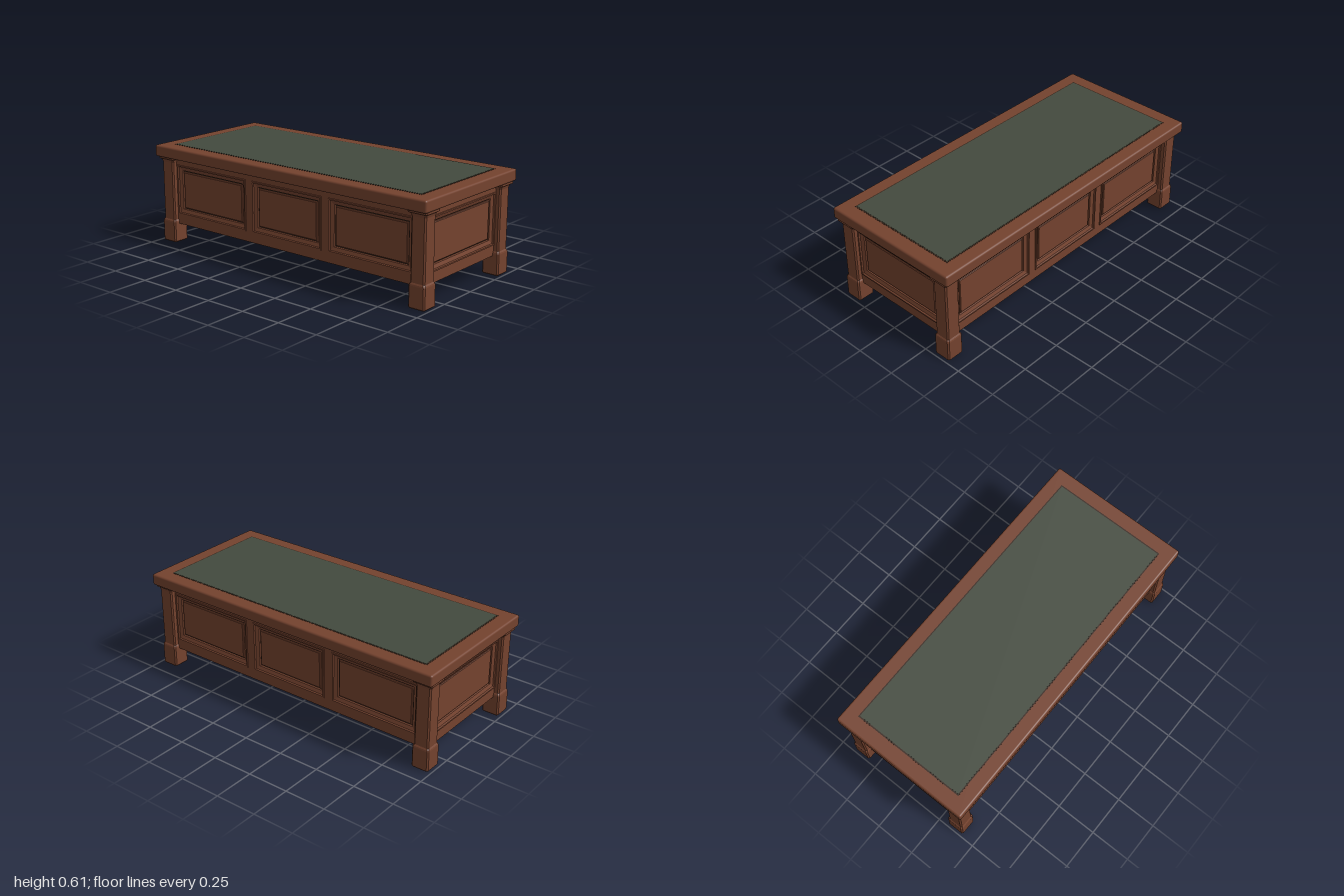
import * as THREE from 'three';
import { RoundedBoxGeometry } from 'three/addons/geometries/RoundedBoxGeometry.js';

const mat = (name, color) => new THREE.MeshStandardMaterial({ name, color });

// Joins rectangular loops [halfX, halfY, z, chamfer] into a flat-shaded surface along +z.
function loft(rows, closeStart) {
  const loops = rows.map(([hx, hy, z, c = 0]) => (c
    ? [[-hx + c, -hy], [hx - c, -hy], [hx, -hy + c], [hx, hy - c], [hx - c, hy], [-hx + c, hy], [-hx, hy - c], [-hx, -hy + c]]
    : [[-hx, -hy], [hx, -hy], [hx, hy], [-hx, hy]]).map(([x, y]) => [x, y, z]));
  const pos = [];
  const n = loops[0].length;
  for (let i = 0; i < loops.length - 1; i++) {
    for (let j = 0; j < n; j++) {
      const k = (j + 1) % n;
      const [a, b, c, d] = [loops[i][j], loops[i][k], loops[i + 1][k], loops[i + 1][j]];
      pos.push(...a, ...b, ...c, ...a, ...c, ...d);
    }
  }
  const end = loops[loops.length - 1];
  for (let j = 1; j < n - 1; j++) {
    pos.push(...end[0], ...end[j], ...end[j + 1]);
    if (closeStart) pos.push(...loops[0][0], ...loops[0][j + 1], ...loops[0][j]);
  }
  const g = new THREE.BufferGeometry();
  g.setAttribute('position', new THREE.Float32BufferAttribute(pos, 3));
  g.computeVertexNormals();
  return g;
}

function rect(Type, x0, x1, y0, y1) {
  const s = new Type();
  s.moveTo(x0, y0);
  s.lineTo(x1, y0);
  s.lineTo(x1, y1);
  s.lineTo(x0, y1);
  s.closePath();
  return s;
}

export function createModel() {
  const root = new THREE.Group();
  root.name = 'panelledDesk';
  const wood = mat('mahogany', 0x74422e);
  const felt = mat('greenLeather', 0x434a3e);
  const dark = mat('darkGroove', 0x38271c);

  const add = (parent, name, geometry, material, x = 0, y = 0, z = 0) => {
    const m = new THREE.Mesh(geometry, material);
    m.name = name;
    m.position.set(x, y, z);
    parent.add(m);
    return m;
  };

  // Top slab with its inlaid writing surface
  add(root, 'topSlab', new RoundedBoxGeometry(2, 0.07, 0.88, 3, 0.012), wood, 0, 0.57, 0);
  add(root, 'inlayBorder', new THREE.BoxGeometry(1.826, 0.004, 0.714), dark, 0, 0.604, 0);
  add(root, 'writingSurface', new THREE.BoxGeometry(1.81, 0.005, 0.7), felt, 0, 0.6045, 0);

  // Inner carcass
  add(root, 'carcass', new THREE.BoxGeometry(1.83, 0.425, 0.69), wood, 0, 0.3275, 0);

  // A wall: framed openings, each with a sloped moulding and a raised panel
  const Y0 = 0.18, Y1 = 0.483, T = 0.03;
  function wall(name, half, openings, distance, angle) {
    const g = new THREE.Group();
    g.name = name;
    g.rotation.y = angle;
    root.add(g);
    const shape = rect(THREE.Shape, -half, half, 0.115, 0.54);
    for (const [a, b] of openings) shape.holes.push(rect(THREE.Path, a, b, Y0, Y1));
    add(g, 'frame', new THREE.ExtrudeGeometry(shape, { depth: T, bevelEnabled: false }), wood, 0, 0, distance - T);
    for (const [a, b] of openings) {
      const w = (b - a) / 2, h = (Y1 - Y0) / 2;
      const row = (inset, z) => [w - inset, h - inset, z];
      const x = (a + b) / 2, y = (Y0 + Y1) / 2;
      const moulding = loft([row(-0.004, 0), row(-0.002, 0.005), row(0.006, 0.005), row(0.009, -0.004),
        row(0.03, -0.012), row(0.033, -0.022), row(0.038, -0.022)]);
      add(g, 'moulding', moulding, wood, x, y, distance);
      add(g, 'groove', loft([row(0.033, -0.021), row(0.038, -0.021)]), dark, x, y, distance);
      add(g, 'raisedPanel', loft([row(0.037, -0.022), row(0.039, -0.015), row(0.043, -0.012)]), wood, x, y, distance);
    }
  }
  const long = [[-0.875, -0.313], [-0.257, 0.257], [0.313, 0.875]];
  const short = [[-0.309, 0.309]];
  wall('frontWall', 0.94, long, 0.375, 0);
  wall('backWall', 0.94, long, 0.375, Math.PI);
  wall('leftWall', 0.37, short, 0.945, Math.PI / 2);
  wall('rightWall', 0.37, short, 0.945, -Math.PI / 2);

  // Corner legs: block foot, chamfered post, flared neck and cap
  const sq = (h, y, c = 0.008) => [h, h, y, c];
  const legGeo = loft([
    sq(0.048, 0), sq(0.053, 0.006), sq(0.053, 0.126), sq(0.051, 0.134), sq(0.046, 0.142),
    sq(0.046, 0.5), sq(0.05, 0.514), sq(0.056, 0.52), sq(0.062, 0.523), sq(0.062, 0.537),
  ], true);
  legGeo.rotateX(-Math.PI / 2);
  for (const sx of [1, -1]) {
    for (const sz of [1, -1]) {
      const name = (sz > 0 ? 'front' : 'back') + (sx > 0 ? 'Left' : 'Right') + 'Leg';
      add(root, name, legGeo, wood, sx * 0.93, 0, sz * 0.36);
    }
  }
  return root;
}
